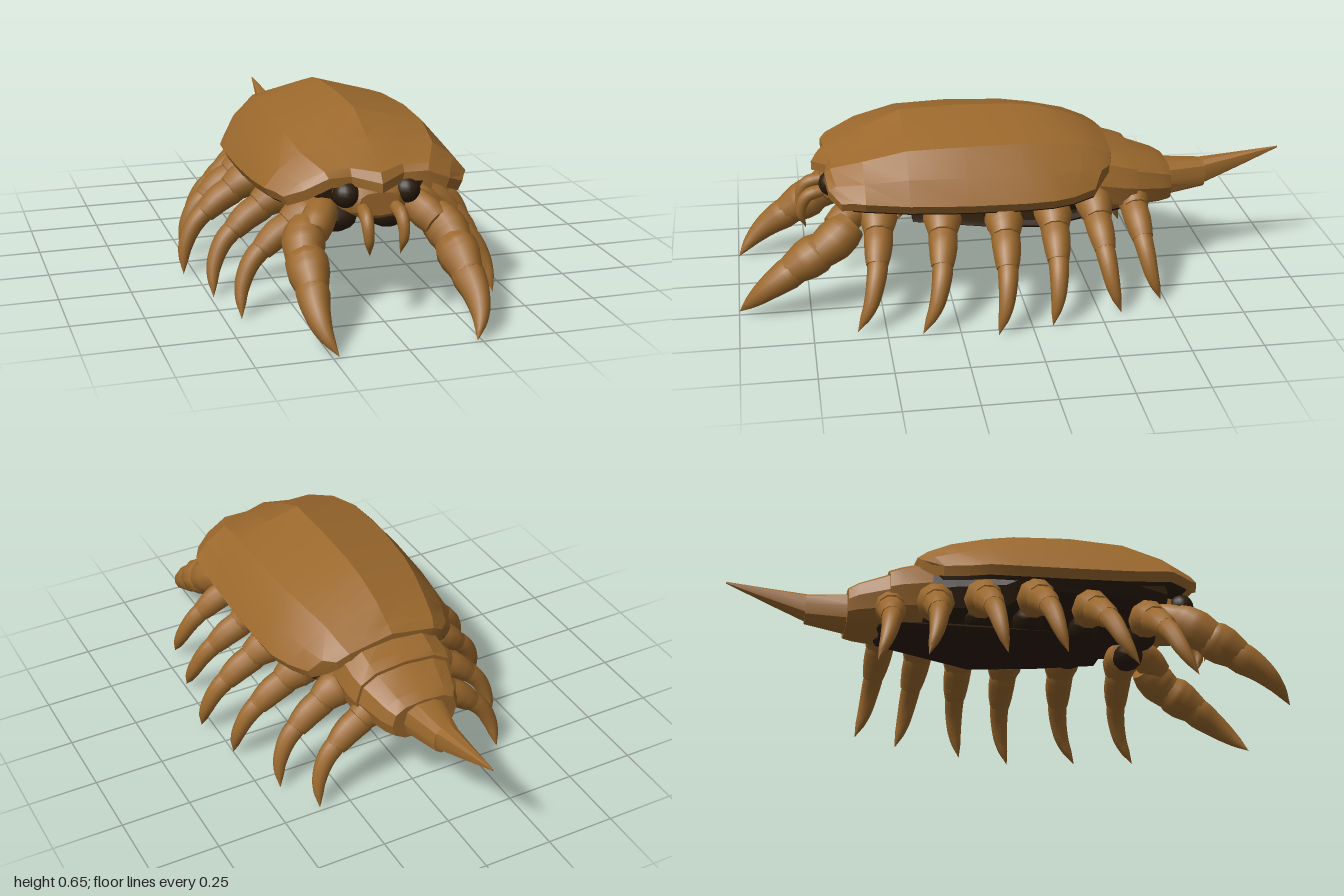
import * as THREE from 'three';
import { toCreasedNormals } from 'three/addons/utils/BufferGeometryUtils.js';

const brown = new THREE.MeshStandardMaterial({ color: 0x9c692d });
brown.name = 'brown chitin';
const dark = new THREE.MeshStandardMaterial({ color: 0x2a1b0b });
dark.name = 'dark underside';
const { lerp } = THREE.MathUtils;

// Closed skin over a list of equal rings, with both ends capped
function skin(rings, crease) {
  const n = rings[0].length, idx = [];
  const quad = (a, b, c, d) => idx.push(a, b, c, a, c, d);
  for (let i = 0; i < rings.length - 1; i++)
    for (let j = 0; j < n; j++) {
      const k = (j + 1) % n;
      quad(i * n + j, i * n + k, (i + 1) * n + k, (i + 1) * n + j);
    }
  const e = (rings.length - 1) * n;
  for (let j = 0; j < n / 2 - 1; j++) {
    quad(j, n - 1 - j, n - 2 - j, j + 1);
    quad(e + j, e + j + 1, e + n - 2 - j, e + n - 1 - j);
  }
  const g = new THREE.BufferGeometry();
  g.setAttribute('position', new THREE.Float32BufferAttribute(rings.flat(2), 3));
  g.setIndex(idx);
  return toCreasedNormals(g, crease);
}

// Rounded-box sections [z, centre y, half width, half height], back to front
function loft(stations, sides = 12, crease = 0.5) {
  const soft = v => Math.sign(v) * Math.abs(v) ** 0.75;
  return skin(stations.map(([z, cy, hw, hh]) =>
    Array.from({ length: sides }, (_, j) => {
      const a = (j / sides) * Math.PI * 2;
      return [soft(Math.cos(a)) * hw, cy + soft(Math.sin(a)) * hh, z];
    })), crease);
}

// Curved limb segment: radius follows a short list, ends close abruptly
function segment(points, radii) {
  const curve = new THREE.CatmullRomCurve3(points.map(p => new THREE.Vector3(...p)));
  const rows = 16, sides = 10;
  const g = new THREE.TubeGeometry(curve, rows, 1, sides);
  const pos = g.attributes.position, v = new THREE.Vector3();
  for (let i = 0; i <= rows; i++) {
    const c = curve.getPointAt(i / rows);
    const t = (i / rows) * (radii.length - 1), k = Math.min(Math.floor(t), radii.length - 2);
    const r = i % rows === 0 ? 0 : lerp(radii[k], radii[k + 1], t - k);
    for (let j = 0; j <= sides; j++) {
      const q = i * (sides + 1) + j;
      v.fromBufferAttribute(pos, q).sub(c).multiplyScalar(r).add(c);
      pos.setXYZ(q, v.x, v.y, v.z);
    }
  }
  return toCreasedNormals(g, 0.8);
}

// Half rows of the domed shell, front to back, crest to edge
function shellRows() {
  const half = [
    [[0, 0.472, 0.72], [0.09, 0.49, 0.67], [0.17, 0.492, 0.68], [0.25, 0.457, 0.67], [0.31, 0.43, 0.63]],
    [[0, 0.505, 0.7], [0.09, 0.515, 0.655], [0.18, 0.512, 0.66], [0.26, 0.475, 0.645], [0.33, 0.438, 0.59]],
  ];
  // z, crest y, ridge x, ridge y, edge x, edge y
  [[0.55, 0.585, 0.23, 0.55, 0.352, 0.44],
    [0.4, 0.65, 0.245, 0.585, 0.358, 0.425],
    [0.2, 0.657, 0.25, 0.59, 0.36, 0.415],
    [0, 0.65, 0.235, 0.585, 0.355, 0.41],
    [-0.1, 0.637, 0.22, 0.575, 0.348, 0.41],
    [-0.22, 0.6, 0.195, 0.555, 0.322, 0.41],
    [-0.3, 0.555, 0.18, 0.525, 0.285, 0.42],
    [-0.335, 0.535, 0.165, 0.505, 0.235, 0.445]].forEach(([z, cy, rx, ry, ex, ey]) => {
    const back = z < -0.2 ? 0.045 : 0;
    half.push([[0, cy, z], [rx / 2, (cy + ry) / 2, z], [rx, ry, z],
      [lerp(rx, ex, 0.62), lerp(ry, ey, 0.5), z + back / 3], [ex, ey, z + back]]);
  });
  return half;
}

// Layer of the shell between two depths, each [width scale, drop]
function shellLayer(rows, [topScale, topDrop], [lowScale, lowDrop]) {
  return skin(rows.map(h => {
    const arc = [...h.slice(1).reverse().map(([x, y, z]) => [-x, y, z]), ...h];
    const at = (k, d) => arc.map(([x, y, z]) => [x * k, y - d, z]);
    return [...at(topScale, topDrop), ...at(lowScale, lowDrop).reverse()];
  }), 0.3);
}

export function createModel() {
  const model = new THREE.Group();
  model.name = 'armoredCrawler';
  const add = (name, geometry, parent = model, material = brown) => {
    const m = new THREE.Mesh(geometry, material);
    m.name = name;
    parent.add(m);
    return m;
  };

  // Shell with dark lining, trunk and belly
  const rows = shellRows();
  add('shell', shellLayer(rows, [1, 0], [0.95, 0.032]));
  add('shellLining', shellLayer(rows.slice(1, -1), [0.94, 0.02], [0.91, 0.042]), model, dark);
  add('trunk', loft([[-0.4, 0.36, 0.17, 0.1], [-0.2, 0.385, 0.2, 0.125], [-0.02, 0.4, 0.22, 0.125], [0.08, 0.44, 0.25, 0.09],
    [0.4, 0.44, 0.25, 0.085], [0.58, 0.43, 0.19, 0.07]]), model, dark);
  add('bellyPlate', loft([[-0.45, 0.275, 0.1, 0.02], [-0.1, 0.245, 0.18, 0.025], [0.13, 0.255, 0.17, 0.016],
    [0.37, 0.265, 0.12, 0.01]]), model, dark);

  // Abdomen plates and tail spike
  add('abdomenFront', loft([[-0.43, 0.37, 0.19, 0.11], [-0.39, 0.377, 0.2, 0.118], [-0.28, 0.395, 0.2, 0.135]], 12, 0.4));
  add('abdomenRear', loft([[-0.57, 0.34, 0.125, 0.072], [-0.535, 0.348, 0.148, 0.083], [-0.4, 0.369, 0.19, 0.109]], 12, 0.4));
  add('tailSpike', loft([[-1, 0.425, 0.002, 0.003], [-0.85, 0.385, 0.023, 0.027], [-0.7, 0.347, 0.045, 0.05]], 10));
  add('tailBase', loft([[-0.715, 0.345, 0.047, 0.052], [-0.55, 0.337, 0.085, 0.068]], 10));

  // Head
  add('head', loft([[0.5, 0.42, 0.14, 0.08], [0.62, 0.41, 0.125, 0.07], [0.67, 0.4, 0.1, 0.06], [0.69, 0.395, 0.07, 0.04]]));

  for (const s of [1, -1]) {
    const side = s > 0 ? 'left' : 'right';
    const P = list => list.map(([x, y, z]) => [s * x, y, z]);

    const eye = add(side + 'Eye', new THREE.SphereGeometry(0.045, 16, 12), model, dark);
    eye.position.set(s * 0.105, 0.427, 0.655);

    // Small hooked mouthpart
    add(side + 'Fang', segment(P([[0.055, 0.385, 0.67], [0.06, 0.365, 0.74], [0.06, 0.31, 0.765], [0.052, 0.24, 0.75]]),
      [0.02, 0.024, 0.021, 0.016, 0]));

    // Large front limb
    const arm = new THREE.Group();
    arm.name = side + 'FrontLimb';
    model.add(arm);
    add('shoulder', segment(P([[0.14, 0.36, 0.53], [0.18, 0.335, 0.6], [0.22, 0.295, 0.66]]), [0.045, 0.056, 0.058, 0.05]), arm);
    add('upperArm', segment(P([[0.215, 0.325, 0.59], [0.25, 0.27, 0.66], [0.265, 0.215, 0.74]]), [0.055, 0.07, 0.073, 0.064, 0.055]), arm);
    add('forearm', segment(P([[0.25, 0.25, 0.69], [0.26, 0.21, 0.755], [0.264, 0.165, 0.83]]), [0.058, 0.073, 0.071, 0.06, 0.048]), arm);
    add('claw', segment(P([[0.26, 0.19, 0.78], [0.27, 0.125, 0.88], [0.26, 0.07, 0.945], [0.23, 0.012, 1]]),
      [0.053, 0.057, 0.047, 0.036, 0.021, 0]), arm);

    // Walking legs: [base z, tip x, tip z]
    [[0.5, 0.445, 0.6], [0.28, 0.49, 0.38], [0.07, 0.54, 0.125],
      [-0.11, 0.5, -0.07], [-0.27, 0.435, -0.325], [-0.42, 0.36, -0.485]].forEach(([bz, tx, tz], i) => {
      const leg = new THREE.Group();
      leg.name = side + 'Leg' + (i + 1);
      model.add(leg);
      const at = (dx, y, t) => [s * (tx - dx), y, lerp(bz, tz, t)];
      // Dark socket under the trunk
      const socket = add('socket', new THREE.SphereGeometry(1, 12, 8), leg, dark);
      socket.scale.set(0.075, 0.05, 0.055);
      socket.position.set(s * lerp(0.1, tx - 0.36, 0.5), 0.3, bz);
      add('hip', segment([at(0.32, 0.325, 0), at(0.25, 0.325, 0), at(0.175, 0.287, 0.08)], [0.05, 0.064, 0.068, 0.058, 0.046]), leg);
      add('thigh', segment([at(0.23, 0.305, 0.02), at(0.145, 0.262, 0.1), at(0.08, 0.207, 0.22)], [0.043, 0.051, 0.05, 0.045, 0.036]), leg);
      add('claw', segment([at(0.115, 0.24, 0.13), at(0.052, 0.18, 0.27), at(0.013, 0.1, 0.52), at(0, 0.008, 1)],
        [0.034, 0.036, 0.032, 0.027, 0.018, 0]), leg);
    });
  }
  return model;
}
